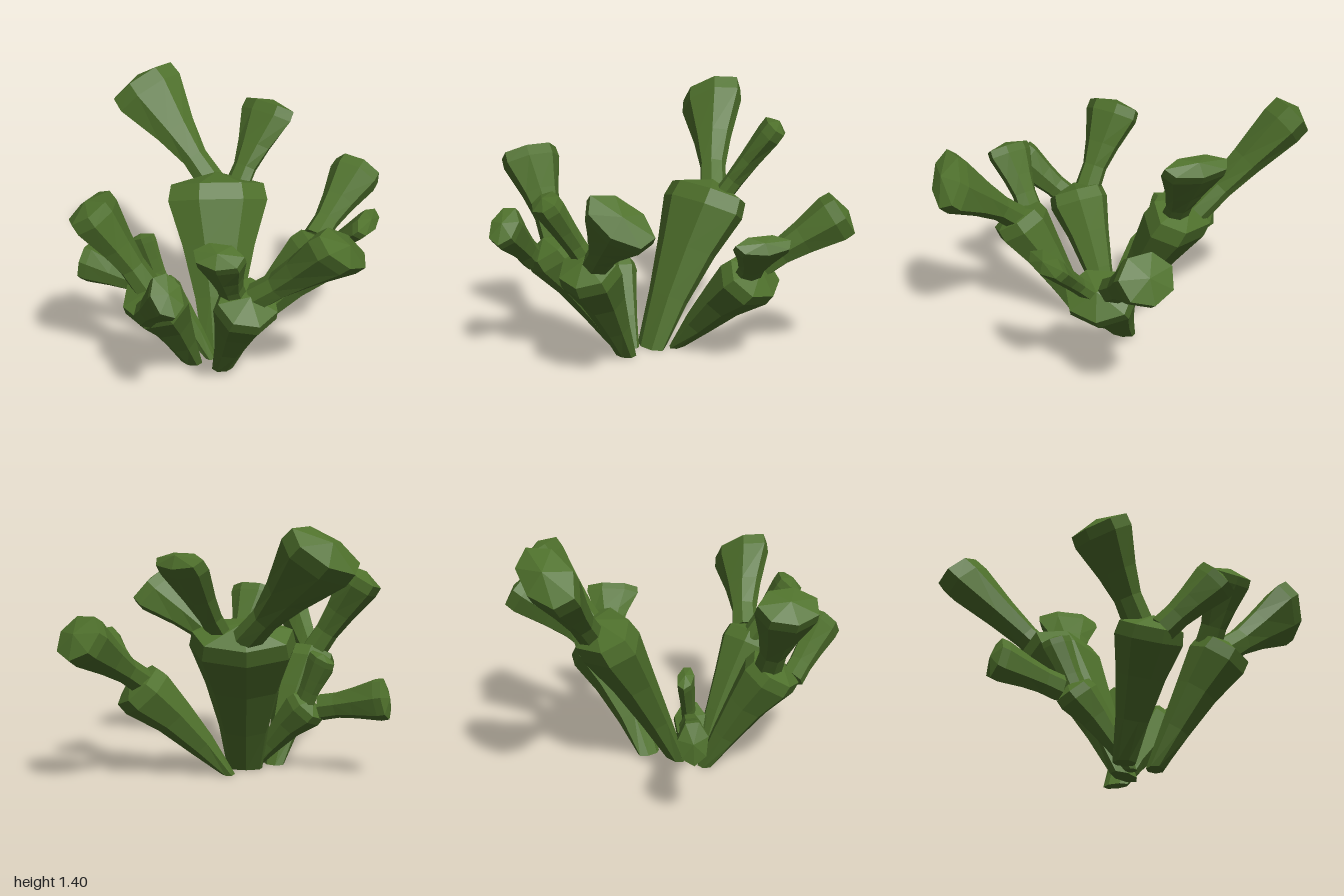
import * as THREE from 'three';

const SIDES = 7;

// Flared limb: elliptical rings swept from start to end, closed by a low pointed dome.
// neck, rim = half-widths [a, b] of the cross-section (a is horizontal when roll is 0);
// rings = [position along limb, flare 0..1]
function limb({ start, end, neck, rim, roll, rings, bow, grounded }) {
  const s = new THREE.Vector3(...start), e = new THREE.Vector3(...end);
  const d = e.clone().sub(s).normalize();
  const u = new THREE.Vector3(0, 1, 0).cross(d).normalize().applyAxisAngle(d, roll);
  const v = d.clone().cross(u);
  const pos = [], idx = [];
  const centre = t => {
    const c = s.clone().lerp(e, t);
    c.y += bow * Math.sin(Math.PI * Math.min(t, 1));
    return c;
  };
  rings.forEach(([t, flare], j) => {
    const a = THREE.MathUtils.lerp(neck[0], rim[0], flare);
    const b = THREE.MathUtils.lerp(neck[1], rim[1], flare);
    for (let i = 0; i < SIDES; i++) {
      const q = (i / SIDES) * Math.PI * 2 + 0.3;
      const p = centre(t).addScaledVector(u, a * Math.cos(q)).addScaledVector(v, b * Math.sin(q));
      if (grounded && j === 0) p.y = 0;
      pos.push(p.x, p.y, p.z);
    }
  });
  const last = rings.length - 1, foot = rings.length * SIDES, tip = foot + 1;
  pos.push(...s.toArray(), ...centre(1.11).toArray());
  for (let i = 0; i < SIDES; i++) {
    const k = (i + 1) % SIDES;
    for (let j = 0; j < last; j++) {
      const o = j * SIDES, n = o + SIDES;
      idx.push(o + i, o + k, n + k, o + i, n + k, n + i);
    }
    idx.push(k, i, foot, last * SIDES + i, last * SIDES + k, tip);
  }
  const g = new THREE.BufferGeometry();
  g.setAttribute('position', new THREE.Float32BufferAttribute(pos, 3));
  g.setIndex(idx);
  const flat = g.toNonIndexed();
  flat.computeVertexNormals();
  return flat;
}

const STALK_RINGS = [[0, 0], [0.3, 0.22], [0.62, 0.58], [0.92, 1], [1.03, 0.9]];
const BRANCH_RINGS = [[-0.08, 0.08], [0.2, 0.04], [0.5, 0.36], [0.9, 0.96], [1.03, 0.92]];

// Stalk rising from the ground, its foot about a third as wide as its rim
const stalk = (x, z, end, rim) => limb({
  start: [x, 0, z], end, rim, neck: rim.map(r => r * 0.35),
  roll: 0, rings: STALK_RINGS, bow: 0.03, grounded: true,
});

// Branch with a slim neck
const branch = (start, end, rim, roll = 0) => limb({
  start, end, rim, neck: rim.map(r => Math.min(0.07, 0.01 + r * 0.6)),
  roll, rings: BRANCH_RINGS, bow: 0, grounded: false,
});

export function createModel() {
  const model = new THREE.Group();
  model.name = 'branchingPlant';
  const green = new THREE.MeshStandardMaterial({ color: 0x4f712c });
  green.name = 'leafGreen';
  green.flatShading = true;

  const addPlant = (name, body, ...branches) => {
    const plant = new THREE.Group();
    plant.name = name;
    [body, ...branches].forEach((geometry, i) => {
      const mesh = new THREE.Mesh(geometry, green);
      mesh.name = name + (i === 0 ? 'Body' : 'Branch' + i);
      plant.add(mesh);
    });
    model.add(plant);
  };

  addPlant('backStalk',
    stalk(-0.13, 0.03, [0.17, 0.8, -0.28], [0.29, 0.17]),
    branch([0.2, 0.84, -0.38], [0.18, 1.28, -0.87], [0.215, 0.13], -0.68),
    branch([0.27, 0.84, -0.2], [0.54, 1.21, -0.21], [0.185, 0.07]));

  addPlant('leftStalk',
    stalk(0.02, 0.01, [0.43, 0.5, 0.27], [0.2, 0.16]),
    branch([0.5, 0.57, 0.21], [0.89, 0.82, 0.17], [0.155, 0.14]),
    branch([0.41, 0.55, 0.35], [0.48, 0.76, 0.56], [0.16, 0.06]));

  addPlant('frontStalk',
    stalk(-0.26, 0.17, [-0.42, 0.6, 0.5], [0.17, 0.16]),
    branch([-0.36, 0.66, 0.55], [-0.21, 0.98, 0.92], [0.2, 0.11], -0.78),
    branch([-0.46, 0.66, 0.43], [-0.63, 0.95, 0.5], [0.14, 0.08]));

  addPlant('rightStalk',
    stalk(-0.33, 0, [-0.68, 0.58, 0.08], [0.18, 0.16]),
    branch([-0.68, 0.66, 0], [-0.83, 1.05, -0.2], [0.175, 0.13]),
    branch([-0.78, 0.56, 0.14], [-0.87, 0.79, 0.38], [0.085, 0.12]));

  addPlant('smallStalk',
    stalk(-0.23, 0.05, [-0.33, 0.37, -0.26], [0.09, 0.12]),
    branch([-0.37, 0.38, -0.36], [-0.5, 0.45, -0.67], [0.08, 0.12]),
    branch([-0.32, 0.42, -0.26], [-0.34, 0.65, -0.36], [0.045, 0.085]));

  return model;
}
